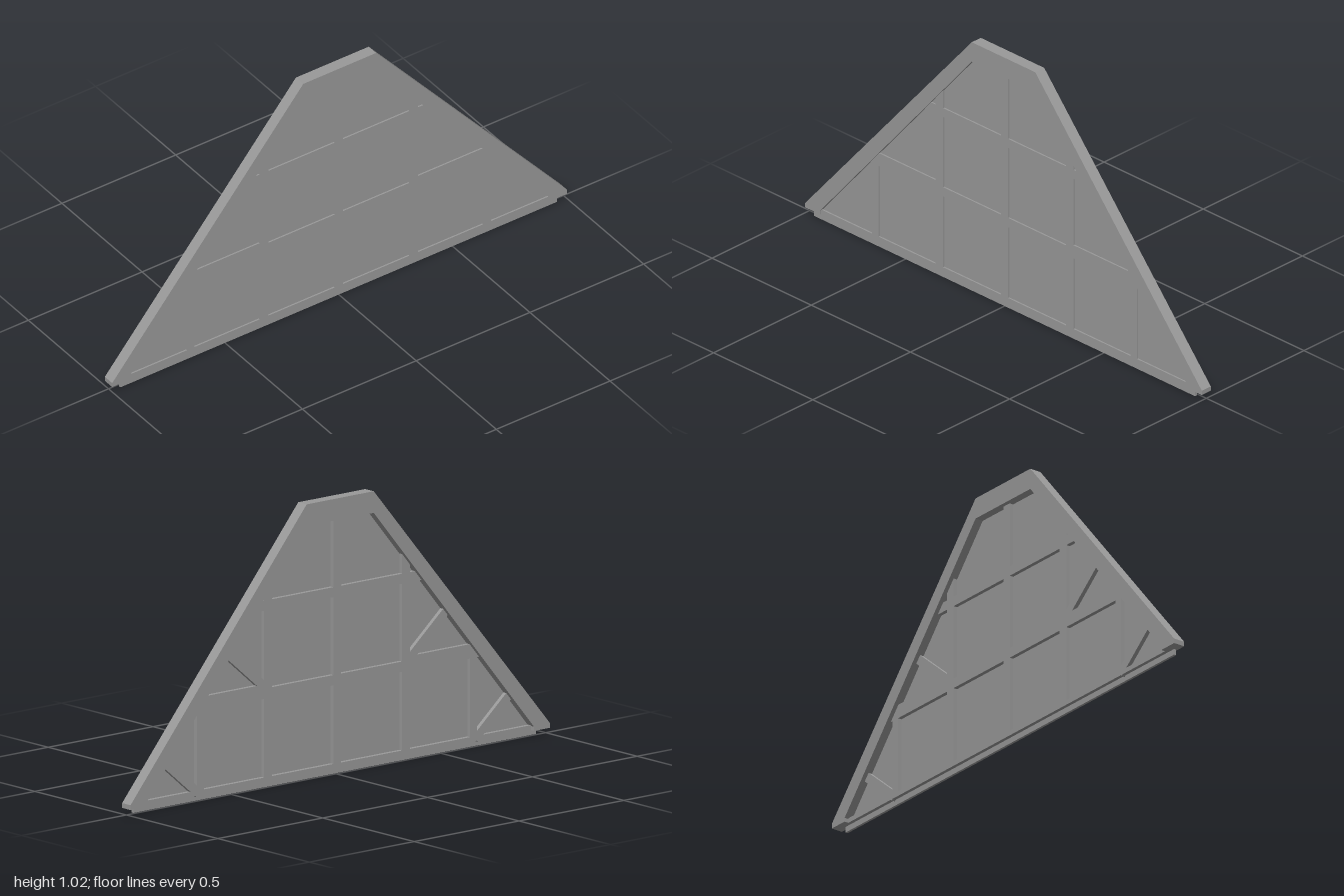
import * as THREE from 'three';

const material = new THREE.MeshStandardMaterial({ color: 0x999999, flatShading: true });

// Extrudes a (z, y) outline across x, from x0 to x1.
function slab(name, points, x0, x1) {
  const shape = new THREE.Shape(points.map(([z, y]) => new THREE.Vector2(z, y)));
  const geometry = new THREE.ExtrudeGeometry(shape, { depth: x1 - x0, bevelEnabled: false });
  geometry.rotateY(-Math.PI / 2).translate(x1, 0, 0);
  const mesh = new THREE.Mesh(geometry, material);
  mesh.name = name;
  return mesh;
}

// Completes a half outline by mirroring it in z.
const mirrored = (half) => [...half, ...half.map(([z, y]) => [-z, y]).reverse()];

// Z of the sloped inner frame edge at height y, pushed a little into the frame.
const innerZ = (y) => 0.16 + (0.94 - y) / 1.183 + 0.01;

export function createModel() {
  const group = new THREE.Group();
  group.name = 'trapezoidWindow';
  const barBack = -0.006, barFront = 0.0175;

  // Outer frame: two sloping rails and a top rail, open at the bottom
  const outer = [[1, 0.022], [1, 0.04], [0.16, 1.022]];
  const inner = [[0.925, 0.022], [0.925, 0.037], [0.16, 0.942]];
  group.add(slab('frame', [...mirrored(outer), ...mirrored(inner).reverse()], -0.023, 0.023));

  // Thin pane, tucked into the frame
  group.add(slab('pane', mirrored([[0.93, 0.03], [0.165, 0.95]]), 0.0095, 0.0115));

  // Horizontal bars, with ends cut along the slope
  const horizontal = (name, y0, y1) => group.add(slab(name,
    mirrored([[innerZ(y0), y0], [innerZ(y1), y1]]), barBack, barFront));
  horizontal('upperBar', 0.655, 0.692);
  horizontal('middleBar', 0.33, 0.368);
  horizontal('bottomBar', 0.022, 0.04);
  group.add(slab('bottomLip', mirrored([[0.96, 0], [0.96, 0.022]]), 0.008, barFront));

  // Vertical bars
  const vertical = (name, z0, z1, top0, top1) => group.add(slab(name,
    [[z0, 0.03], [z1, 0.03], [z1, top1], [z0, top0]], barBack, barFront));
  vertical('centreBar', -0.018, 0.018, 0.95, 0.95);
  for (const s of [1, -1]) {
    vertical('innerVerticalBar', 0.31 * s, 0.348 * s, 0.774, 0.729);
    vertical('outerVerticalBar', 0.635 * s, 0.668 * s, 0.34, 0.34);
    // Raised outer length of the middle bar
    group.add(slab('middleBarEnd',
      [[0.34 * s, 0.36], [innerZ(0.36) * s, 0.36], [innerZ(0.383) * s, 0.383], [0.34 * s, 0.383]],
      barBack, barFront));
    // Braces set square to the sloping rail, behind the pane
    for (const [z, y, length] of [[0.34, 0.37, 0.24], [0.66, 0.03, 0.22]]) {
      const dz = 0.764, dy = 0.646, w = 0.017;
      const corner = (t, k) => [(z + dz * t - dy * k) * s, y + dy * t + dz * k];
      group.add(slab('brace',
        [corner(0, -w), corner(length, -w), corner(length, w), corner(0, w)], barBack, 0.0105));
    }
  }
  return group;
}
